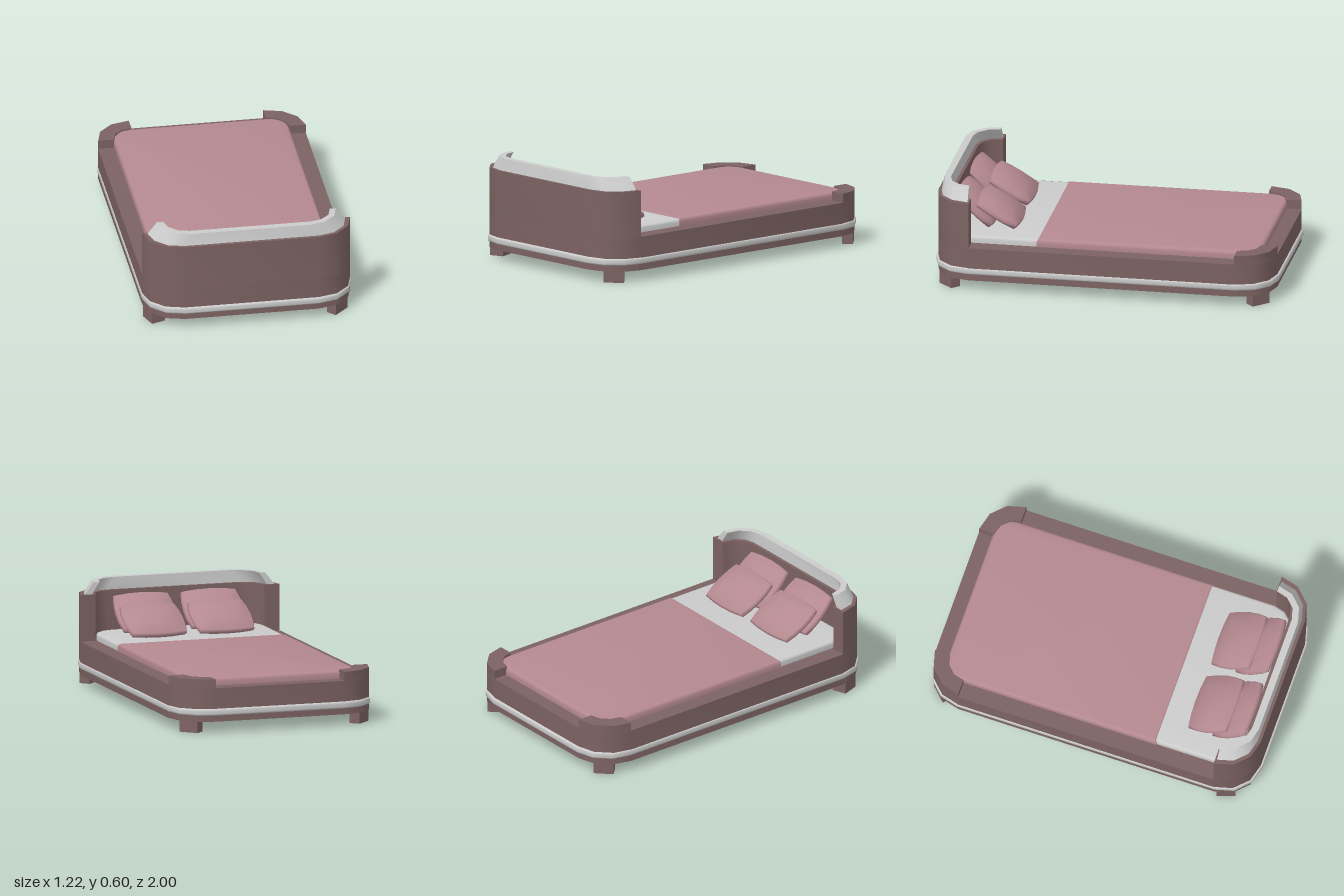
import * as THREE from 'three';
import { toCreasedNormals, mergeVertices } from 'three/addons/utils/BufferGeometryUtils.js';

const mat = (color, extra = {}) => new THREE.MeshStandardMaterial({ color, ...extra });
const grey = mat(0xcccccc);
const wood = mat(0x7c6262);
const cloth = mat(0xb48990);

// Corner centres shared by the frame, headboard and foot corners
const CX = 0.39, CZ = 0.775, OUTER = 0.214, INNER = 0.122;

// Points [x, z] along an arc, angles in quarter turns
function arc(cx, cz, r, q0, q1, n = 3) {
  return Array.from({ length: n + 1 }, (_, i) => {
    const a = (q0 + (q1 - q0) * i / n) * Math.PI / 2;
    return new THREE.Vector2(cx + r * Math.cos(a), cz + r * Math.sin(a));
  });
}

const roundedOutline = (cx, z0, z1, r, n = 3) => [
  ...arc(cx, z1, r, 0, 1, n), ...arc(-cx, z1, r, 1, 2, n),
  ...arc(-cx, z0, r, 2, 3, n), ...arc(cx, z0, r, 3, 4, n),
];

// U around the head end, running from +x to -x
const headPath = (cx, cz, r) => [...arc(cx, cz, r, 0, 1), ...arc(-cx, cz, r, 1, 2)];

// Plan outline extruded from y0 to y1, with an optional rounded edge
function slab(points, y0, y1, bevel = 0) {
  const g = new THREE.ExtrudeGeometry(new THREE.Shape(points), {
    depth: y1 - y0 - 2 * bevel, bevelEnabled: bevel > 0,
    bevelThickness: bevel, bevelSize: bevel, bevelSegments: 3,
  });
  g.rotateX(Math.PI / 2).translate(0, y1 - bevel, 0);
  return toCreasedNormals(g, 0.7);
}

// Leaning band on the headboard, lofted through four edge lines
function capBand() {
  const edges = [
    [headPath(0.39, 0.785, 0.185), 0.53],
    [headPath(0.345, 0.787, 0.175), 0.6],
    [headPath(0.35, 0.787, 0.135), 0.6],
    [headPath(0.4, 0.785, 0.13), 0.53],
  ].map(([pts, y]) => pts.map(p => [p.x, y, p.y]));
  const pos = [];
  const tri = (...v) => v.forEach(p => pos.push(...p));
  const last = edges[0].length - 1;
  for (let i = 0; i < last; i++) {
    for (let j = 0; j < 4; j++) {
      const e = edges[j], f = edges[(j + 1) % 4];
      tri(e[i], f[i], f[i + 1]);
      tri(e[i], f[i + 1], e[i + 1]);
    }
  }
  const [a, b, c, d] = edges;
  tri(a[0], c[0], b[0]);
  tri(a[0], d[0], c[0]);
  tri(a[last], b[last], c[last]);
  tri(a[last], c[last], d[last]);
  const g = new THREE.BufferGeometry();
  g.setAttribute('position', new THREE.Float32BufferAttribute(pos, 3));
  g.computeVertexNormals();
  return toCreasedNormals(g, 0.7);
}

// Cushion: box thinned toward its rim, with sides bulging at the middle
function pillowGeometry(w, t, l) {
  let g = new THREE.BoxGeometry(2, 2, 2, 4, 2, 4);
  g.deleteAttribute('normal');
  g.deleteAttribute('uv');
  g = mergeVertices(g);
  const p = g.attributes.position;
  for (let i = 0; i < p.count; i++) {
    const u = p.getX(i), h = p.getY(i), v = p.getZ(i);
    const puff = 0.35 + 0.65 * Math.sqrt((1 - u ** 4) * (1 - v ** 4));
    const rim = 0.95 + 0.05 * (1 - h * h);
    p.setXYZ(i,
      u * w / 2 * (1 - 0.1 * v * v) * rim,
      h * t / 2 * puff,
      v * l / 2 * (1 - 0.1 * u * u) * rim);
  }
  g.computeVertexNormals();
  return g;
}

export function createModel() {
  const bed = new THREE.Group();
  bed.name = 'bed';
  const add = (name, geometry, material) => {
    const m = new THREE.Mesh(geometry, material);
    m.name = name;
    bed.add(m);
    return m;
  };

  // Base frame and the rounded trim around it
  add('frame', slab(roundedOutline(CX, -CZ, CZ, OUTER), 0.065, 0.26), wood);
  add('trim', slab(roundedOutline(0.388, -0.78, 0.78, 0.21), 0.1, 0.14, 0.01), grey);

  // Curved headboard and its cap
  const wall = [...headPath(CX, CZ, OUTER), ...headPath(CX, CZ, INNER).reverse()];
  add('headboard', slab(wall, 0.25, 0.53), wood);
  add('headboardCap', capBand(), grey);

  // Raised corners at the foot
  for (const s of [1, -1]) {
    const corner = [...arc(CX, -CZ, OUTER, 3, 4), ...arc(CX, -CZ, INNER, 4, 3)]
      .map(p => new THREE.Vector2(p.x * s, p.y));
    add(s > 0 ? 'footCornerLeft' : 'footCornerRight', slab(corner, 0.25, 0.312), wood);
  }

  // Mattress, with a cover whose upper edge is square-cornered
  add('mattress', slab(roundedOutline(0.37, -0.75, 0.765, 0.12), 0.22, 0.3, 0.015), grey);
  const cover = [
    ...arc(-0.4, -0.795, 0.09, 2, 3, 4), ...arc(0.4, -0.795, 0.09, 3, 4, 4),
    new THREE.Vector2(0.49, 0.375), new THREE.Vector2(-0.49, 0.375),
  ];
  add('cover', slab(cover, 0.22, 0.306, 0.02), cloth);

  // Two leaning rows of pillows
  const pillow = pillowGeometry(0.37, 0.09, 0.29);
  for (const x of [0.205, -0.205]) {
    for (const [row, y, z, tilt] of [['front', 0.382, 0.655, 0.52], ['back', 0.405, 0.785, 0.75]]) {
      const m = add(row + 'Pillow' + (x > 0 ? 'Left' : 'Right'), pillow, cloth);
      m.position.set(x, y, z);
      m.rotation.x = -tilt;
    }
  }

  // Legs: x, z, width, depth, turn
  const legs = [
    ['frontLegLeft', 0.51, 0.9, 0.117, 0.063, Math.PI / 4],
    ['backLegLeft', 0.51, -0.898, 0.117, 0.063, -Math.PI / 4],
    ['backLegRight', -0.51, -0.898, 0.117, 0.063, Math.PI / 4],
    ['frontLegRight', -0.545, 0.83, 0.085, 0.11, 0.35],
  ];
  for (const [name, x, z, w, d, turn] of legs) {
    const m = add(name, new THREE.BoxGeometry(w, 0.08, d), wood);
    m.position.set(x, 0.04, z);
    m.rotation.y = turn;
  }
  return bed;
}
